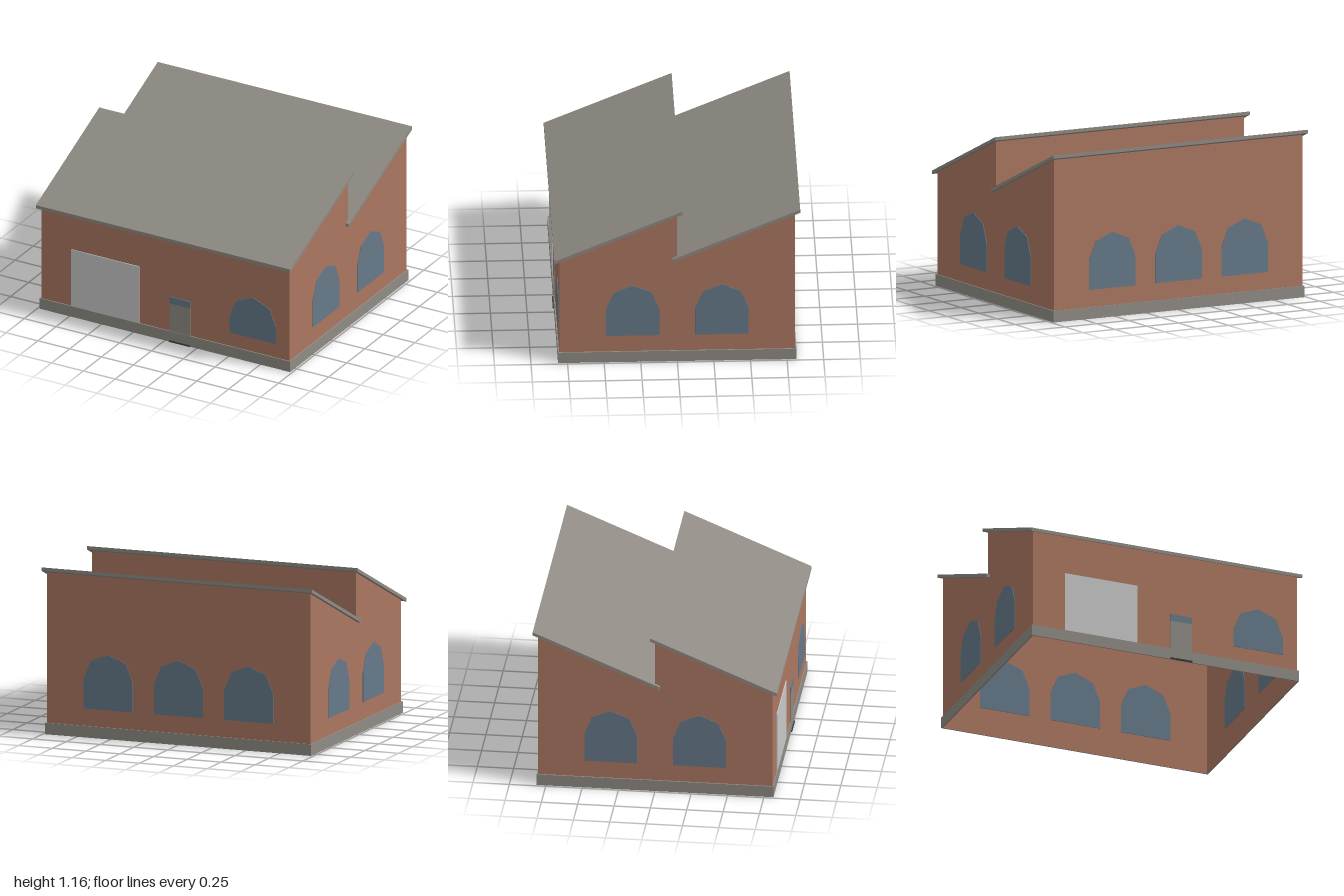
import * as THREE from 'three';

const mat = (name, color, side = THREE.FrontSide) => {
  const m = new THREE.MeshStandardMaterial({ color, side });
  m.name = name;
  return m;
};

export function createModel() {
  const group = new THREE.Group();
  const brick = mat('brick', 0xab7761, THREE.DoubleSide);
  const stone = mat('grey stone', 0x8f8b84);
  const glass = mat('blue glass', 0x667989);
  const shutter = mat('pale shutter', 0xc8c8c8);
  const dark = mat('dark step', 0x3c3a38);

  const W = 0.975, D = 0.806, EAVE = 0.786, RIDGE = 1.127;
  const SIDE = -Math.PI / 2; // turns shape x into model z

  const add = (name, geometry, material, x = 0, y = 0, z = 0, turn = 0) => {
    const mesh = new THREE.Mesh(geometry, material);
    mesh.name = name;
    mesh.position.set(x, y, z);
    mesh.rotation.y = turn;
    group.add(mesh);
    return mesh;
  };
  const polygon = (pts) => new THREE.Shape(pts.map(([x, y]) => new THREE.Vector2(x, y)));
  const extrude = (shape, depth) =>
    new THREE.ExtrudeGeometry(shape, { depth, bevelEnabled: false }).translate(0, 0, -depth / 2);
  const rect = (w, d) => [[-w, -d], [w, -d], [w, d], [-w, d]];

  // Thin brick shell, open below, with a sawtooth outline at both ends
  const gable = new THREE.ShapeGeometry(polygon([
    [D, 0], [D, EAVE], [0, RIDGE], [0, EAVE], [-D, RIDGE], [-D, 0],
  ]));
  add('leftWall', gable, brick, W, 0, 0, SIDE);
  add('rightWall', gable, brick, -W, 0, 0, SIDE);
  const wall = (name, y0, y1, z, turn) =>
    add(name, new THREE.PlaneGeometry(2 * W, y1 - y0), brick, 0, (y0 + y1) / 2, z, turn);
  wall('frontWall', 0, EAVE, D, 0);
  wall('backWall', 0, RIDGE, -D, Math.PI);
  wall('sawtoothWall', EAVE, RIDGE, 0, Math.PI);

  // Plinth ring around the foot of the walls
  const ring = polygon(rect(0.985, 0.815));
  ring.holes.push(polygon(rect(W + 0.001, D + 0.001)));
  add('plinth', extrude(ring, 0.08).rotateX(-Math.PI / 2), stone, 0, 0.04);

  // Two sloping roof slabs
  const slab = extrude(polygon([[0.84, 0.772], [0.84, 0.796], [-0.034, 1.165], [-0.034, 1.141]]), 2);
  add('frontRoof', slab, stone, 0, 0, 0, SIDE);
  add('backRoof', slab, stone, 0, 0, -D, SIDE);

  // Arched windows with a four-sided head, set through the walls
  const archWindow = (rise) => {
    const pts = [[-0.182, 0], [0.182, 0]];
    for (let i = 0; i <= 4; i++) {
      const a = (i * Math.PI) / 4;
      pts.push([0.182 * Math.cos(a), rise + 0.182 * Math.sin(a)]);
    }
    return extrude(polygon(pts), 0.008);
  };
  const tall = archWindow(0.205);
  for (const x of [-W, W]) {
    for (const z of [-0.305, 0.305]) add('sideWindow', tall, glass, x, 0.2, z, SIDE);
  }
  for (const x of [-0.52, 0, 0.52]) add('backWindow', tall, glass, x, 0.2, -D);
  add('frontWindow', archWindow(0.128), glass, 0.688, 0.182, D);

  // Loading shutter, door with its light above, and door step
  const plate = (name, material, x0, x1, y0, y1) =>
    add(name, new THREE.BoxGeometry(x1 - x0, y1 - y0, 0.006), material,
      (x0 + x1) / 2, (y0 + y1) / 2, D + 0.0035);
  plate('loadingShutter', shutter, -0.74, -0.205, 0.08, 0.51);
  plate('door', stone, 0.037, 0.198, 0.08, 0.29);
  plate('doorLight', glass, 0.037, 0.198, 0.29, 0.34);
  add('doorStep', new THREE.BoxGeometry(0.16, 0.01, 0.012), dark, 0.118, 0.006, 0.816);

  return group;
}
